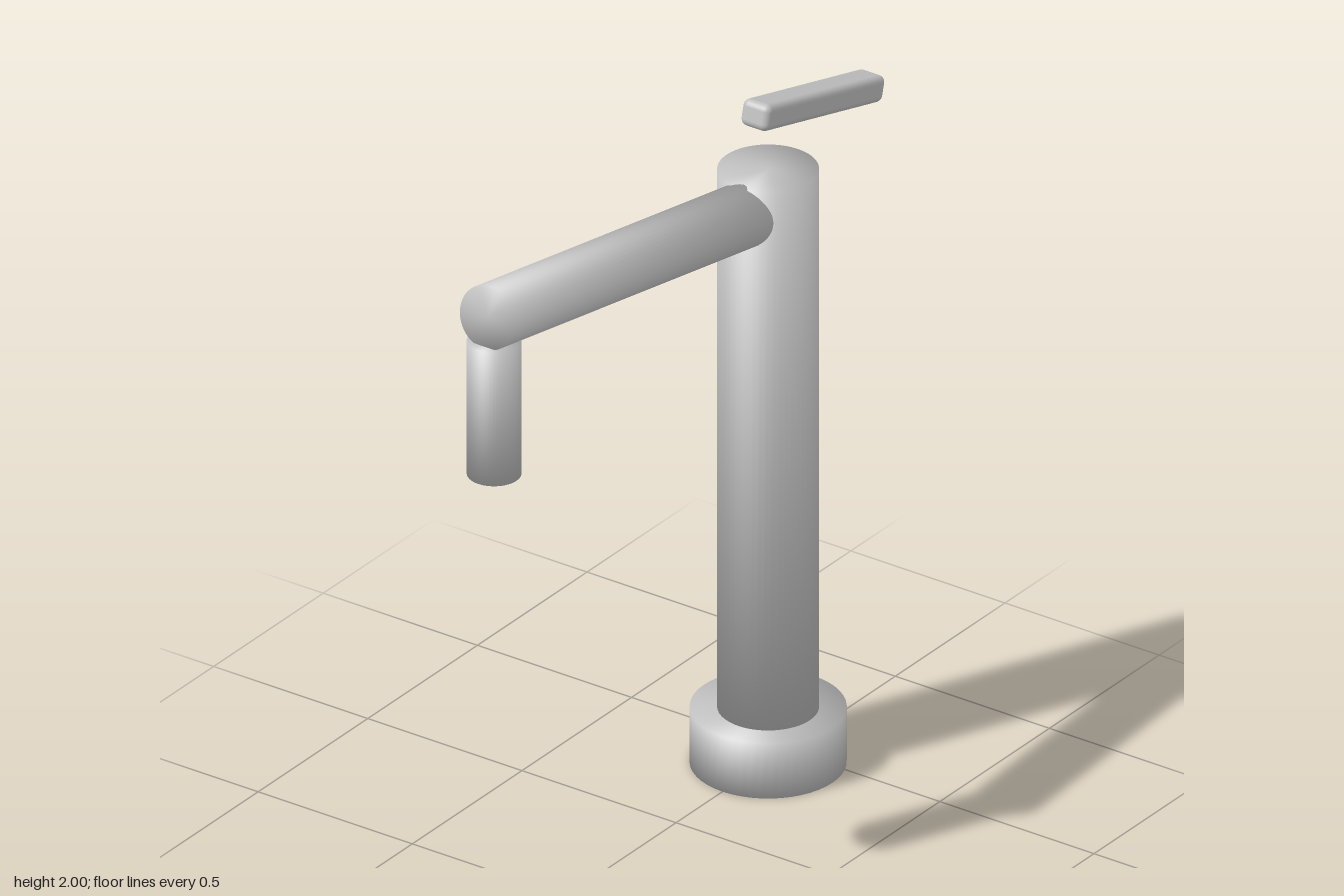
import * as THREE from 'three';
import { RoundedBoxGeometry } from 'three/addons/geometries/RoundedBoxGeometry.js';

// Capped cylinder whose shading blends softly from the side into the caps
function softCylinder(radius, length) {
  const geo = new THREE.CylinderGeometry(radius, radius, length, 48);
  const pos = geo.attributes.position;
  const n = new THREE.Vector3();
  for (let i = 0; i < pos.count; i++) {
    n.set(pos.getX(i) / radius, Math.sign(pos.getY(i)), pos.getZ(i) / radius).normalize();
    geo.attributes.normal.setXYZ(i, n.x, n.y, n.z);
  }
  return geo;
}

export function createModel() {
  const model = new THREE.Group();
  model.name = 'faucet';
  const metal = new THREE.MeshStandardMaterial({ color: 0xc0c0c0 });
  metal.name = 'brushed metal';

  const add = (name, geometry, y, z, tilt = 0) => {
    const mesh = new THREE.Mesh(geometry, metal);
    mesh.name = name;
    mesh.position.set(0, y, z);
    mesh.rotation.x = THREE.MathUtils.degToRad(tilt);
    model.add(mesh);
  };

  // Upright body on its round foot
  const bodyZ = -0.42;
  add('base', softCylinder(0.208, 0.165), 0.0825, bodyZ);
  add('column', softCylinder(0.135, 1.615), 0.9725, bodyZ);

  // Spout rises 10 degrees from inside the column towards the front
  const slope = THREE.MathUtils.degToRad(10);
  const spoutLength = 1.3;
  add('spout', softCylinder(0.089, spoutLength),
    1.896 - Math.sin(slope) * spoutLength / 2,
    0.86 - Math.cos(slope) * spoutLength / 2, 80);

  // Outlet hanging from the tip of the spout
  add('nozzle', softCylinder(0.0725, 0.4), 1.615, 0.83);

  // Lever handle hovering above the column, sloping down to the back
  add('handle', new RoundedBoxGeometry(0.09, 0.075, 0.56, 3, 0.02), 1.896, -0.624, -15);

  return model;
}
